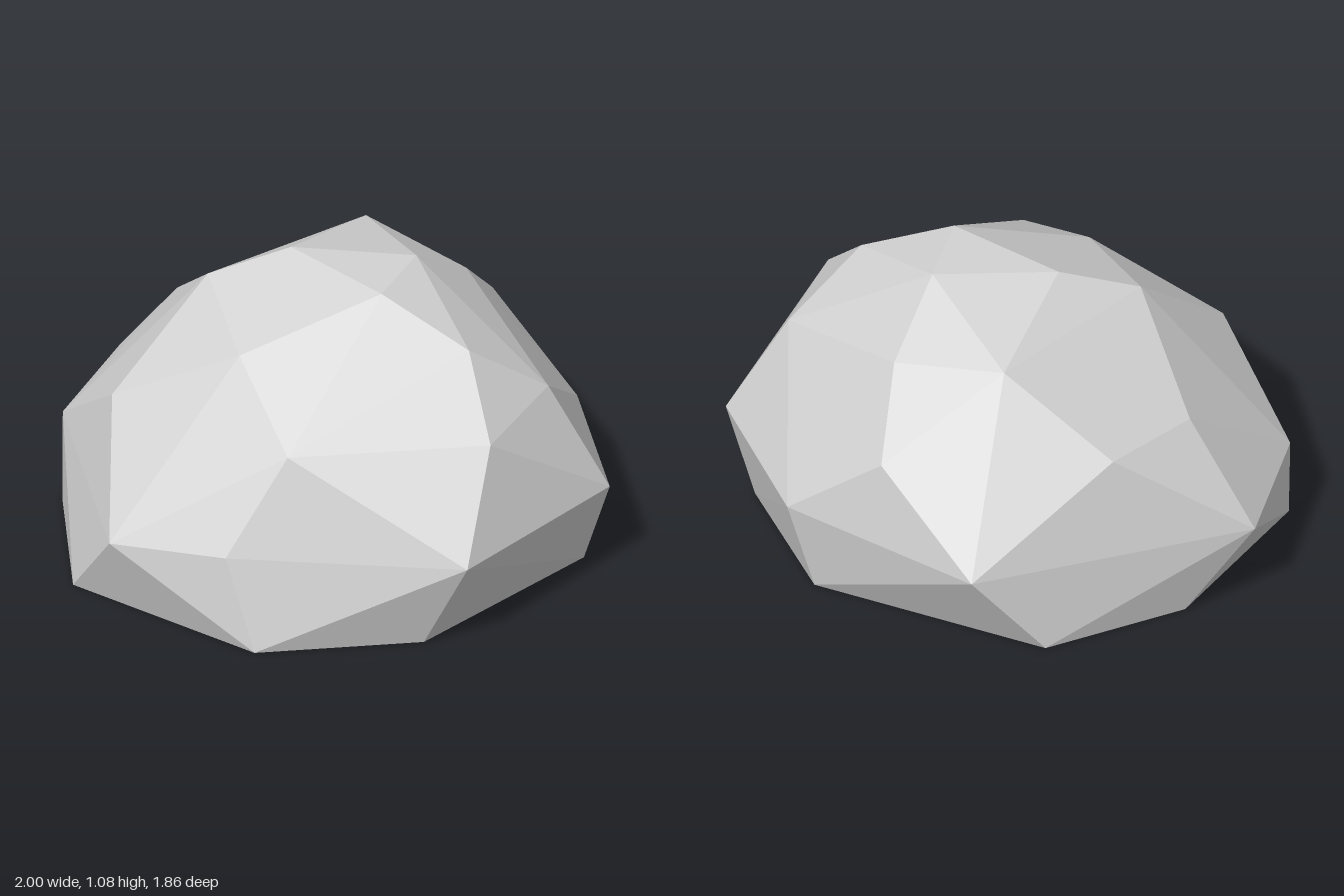
import * as THREE from 'three';
import { ConvexGeometry } from 'three/addons/geometries/ConvexGeometry.js';

// Corner rings of the boulder, from the ground up, each corner as [x, y, z]
const base = [
  [-0.78, 0, 0.65], [-0.03, 0, 0.925], [0.52, 0, 0.68], [0.89, 0, -0.05],
  [0.615, 0, -0.56], [-0.24, 0, -0.83], [-0.7, 0, -0.54], [-0.99, 0, 0.08],
];
const waist = [
  [-0.59, 0.305, 0.84], [-0.15, 0.34, 0.88], [0.69, 0.34, 0.715], [1, 0.335, 0],
  [0.71, 0.34, -0.57], [0.01, 0.33, -0.93], [-0.94, 0.33, -0.48], [-1, 0.33, 0.04],
];
const shoulder = [
  [-0.72, 0.63, 0.37], [0.035, 0.7, 0.735], [0.69, 0.69, 0.43], [0.78, 0.72, 0.02],
  [0.36, 0.65, -0.7], [-0.455, 0.69, -0.63], [-0.69, 0.68, -0.33],
];
const crown = [
  [-0.24, 0.89, 0.41], [0.545, 0.93, 0.21], [0.35, 0.89, -0.41], [-0.055, 0.97, -0.53],
  [-0.47, 0.975, 0.03], [0.21, 1.08, 0.165], [0.25, 1.08, -0.13], [-0.19, 1.08, -0.06],
];

export function createModel() {
  const stone = new THREE.MeshStandardMaterial({ color: 0xd2d2d2, flatShading: true });
  stone.name = 'light grey stone';

  // Faceted boulder with a flat underside
  const corners = [...base, ...waist, ...shoulder, ...crown].map((p) => new THREE.Vector3(...p));
  const boulder = new THREE.Mesh(new ConvexGeometry(corners), stone);
  boulder.name = 'boulder';

  const model = new THREE.Group();
  model.name = 'rock';
  model.add(boulder);
  return model;
}
